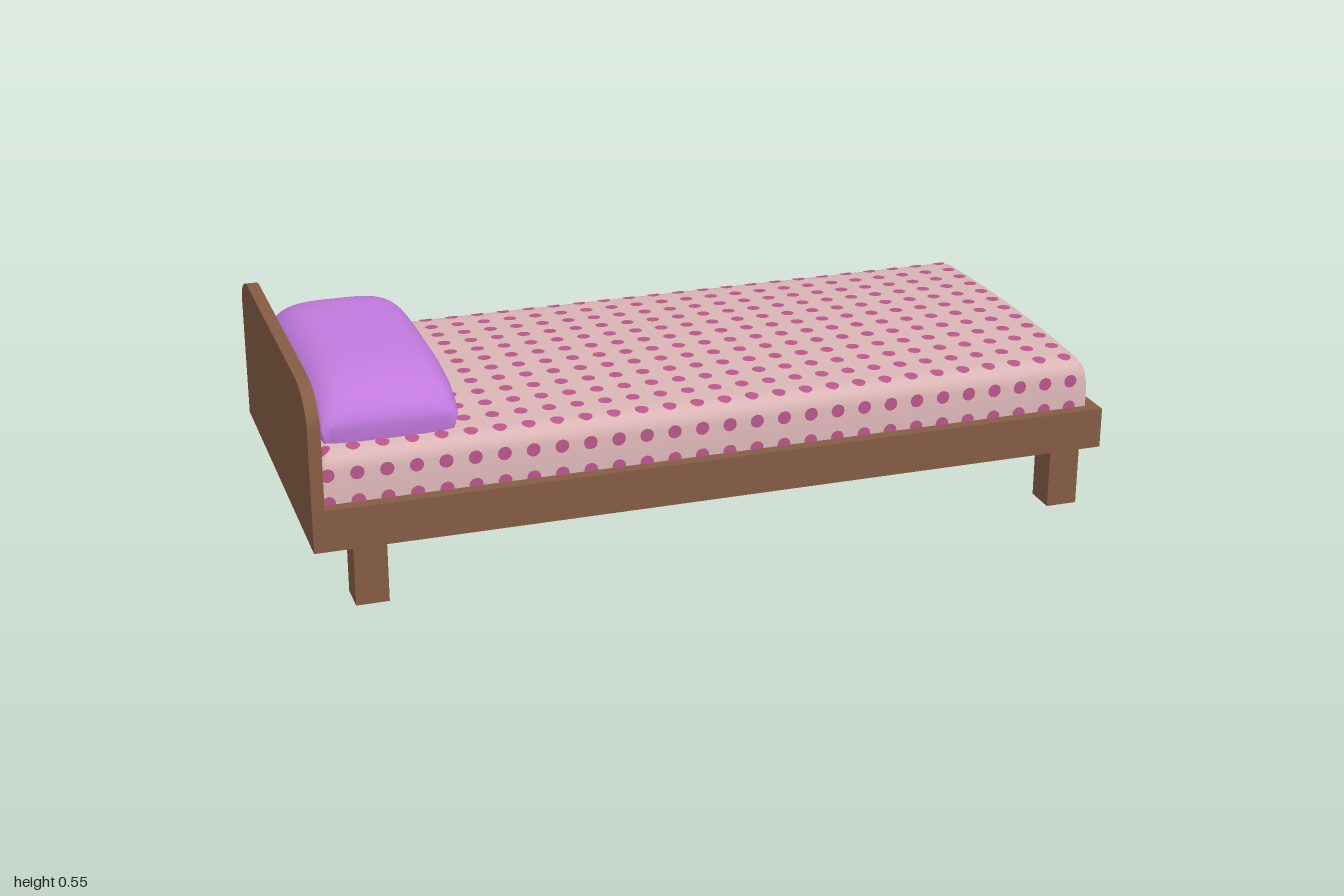
import * as THREE from 'three';
import { mergeGeometries, toCreasedNormals } from 'three/addons/utils/BufferGeometryUtils.js';

const mat = (name, color) => {
  const m = new THREE.MeshStandardMaterial({ color });
  m.name = name;
  return m;
};

// Mattress: half sizes, centre and a softly domed top with rounded edges
const HALF_X = 0.968, HALF_Z = 0.422, BASE_Y = 0.26;
const edgeDrop = (d, r) => {
  const t = Math.max(0, r - Math.max(0, d));
  return r - Math.sqrt(r * r - t * t);
};
const topY = (x, z) => 0.405 - 0.015 * (z / HALF_Z) ** 2
  - edgeDrop(HALF_X - Math.abs(x), 0.03) - edgeDrop(HALF_Z - Math.abs(z), 0.04);

// Unit box whose grid is denser near the edges, reshaped by rule(u, v, isTop) with u, v in -1..1
function softBox(rule, nx, nz) {
  const g = new THREE.BoxGeometry(1, 1, 1, nx, 1, nz);
  const p = g.attributes.position;
  for (let i = 0; i < p.count; i++) {
    const u = Math.sin(p.getX(i) * Math.PI), v = Math.sin(p.getZ(i) * Math.PI);
    p.setXYZ(i, ...rule(u, v, p.getY(i) > 0));
  }
  return toCreasedNormals(g, 0.9);
}

function dotGeometry() {
  const R = 0.017, STEP = 0.0695, dots = [];
  const disc = () => new THREE.CircleGeometry(R, 12);
  for (let i = 0; i < 28; i++) {
    const x = -0.955 + i * STEP;
    // dots following the top surface
    for (let k = -6; k < 6; k++) {
      const z = (k + 0.5) * STEP;
      if (x < -0.64 && Math.abs(z) < 0.35) continue;
      const g = disc().rotateX(-Math.PI / 2).translate(x, 0, z);
      const p = g.attributes.position;
      for (let n = 0; n < p.count; n++) {
        const px = THREE.MathUtils.clamp(p.getX(n), -HALF_X, HALF_X);
        p.setXYZ(n, px, topY(px, p.getZ(n)) + 0.002, p.getZ(n));
      }
      g.computeVertexNormals();
      dots.push(g);
    }
    // two rows on each long side
    for (const y of [0.343, 0.274]) {
      dots.push(disc().translate(x, y, HALF_Z + 0.002));
      dots.push(disc().rotateY(Math.PI).translate(x, y, -HALF_Z - 0.002));
    }
  }
  // two rows on the foot end
  for (let k = -6; k < 6; k++) {
    const z = (k + 0.5) * STEP, sag = 0.2 * z * z;
    for (const y of [0.35, 0.281]) {
      dots.push(disc().rotateY(Math.PI / 2).translate(HALF_X + 0.002, y - sag, z));
    }
  }
  return mergeGeometries(dots);
}

export function createModel() {
  const bed = new THREE.Group();
  bed.name = 'bed';
  const wood = mat('wood brown', 0x855c43);
  const sheet = mat('sheet pink', 0xdab5b5);
  const dot = mat('dot rose', 0xb9568a);
  const purple = mat('pillow purple', 0xc27ade);

  const add = (name, geometry, material) => {
    const m = new THREE.Mesh(geometry, material);
    m.name = name;
    bed.add(m);
    return m;
  };

  // Frame and legs
  add('frame', new THREE.BoxGeometry(2, 0.103, 0.906), wood).position.y = 0.2185;
  for (const x of [-0.862, 0.925]) {
    for (const z of [-0.37, 0.37]) {
      add('leg', new THREE.BoxGeometry(0.08, 0.17, 0.082), wood).position.set(x, 0.085, z);
    }
  }

  // Headboard: panel with rounded upper corners
  const s = new THREE.Shape();
  s.moveTo(-0.453, 0.25);
  s.lineTo(0.453, 0.25);
  s.lineTo(0.453, 0.475);
  s.bezierCurveTo(0.453, 0.52, 0.39, 0.553, 0.33, 0.553);
  s.lineTo(-0.33, 0.553);
  s.bezierCurveTo(-0.39, 0.553, -0.453, 0.52, -0.453, 0.475);
  const board = new THREE.ExtrudeGeometry(s, { depth: 0.03, bevelEnabled: false, curveSegments: 10 });
  board.rotateY(Math.PI / 2).translate(-1, 0, 0);
  add('headboard', toCreasedNormals(board, 0.6), wood);

  // Mattress and its dots
  add('mattress', softBox((u, v, top) => {
    const x = u * HALF_X, z = v * HALF_Z;
    return [x, top ? topY(x, z) : BASE_Y, z];
  }, 40, 28), sheet);
  add('mattressDots', dotGeometry(), dot);

  // Pillow: puffed top, ends slightly narrowed, underside tucked in
  add('pillow', softBox((u, v, top) => {
    const tuck = top ? 1 : 0.93;
    const x = -0.792 + 0.178 * u * (1 - 0.1 * v ** 4) * tuck;
    const z = 0.007 + 0.367 * v * (1 - 0.03 * u ** 4) * (top ? 1 : 0.97);
    const puff = Math.sqrt(Math.max(0, (1 - u ** 4) * (1 - v ** 4)));
    return [x, top ? 0.43 + 0.11 * puff : 0.38, z];
  }, 24, 32), purple);

  return bed;
}
